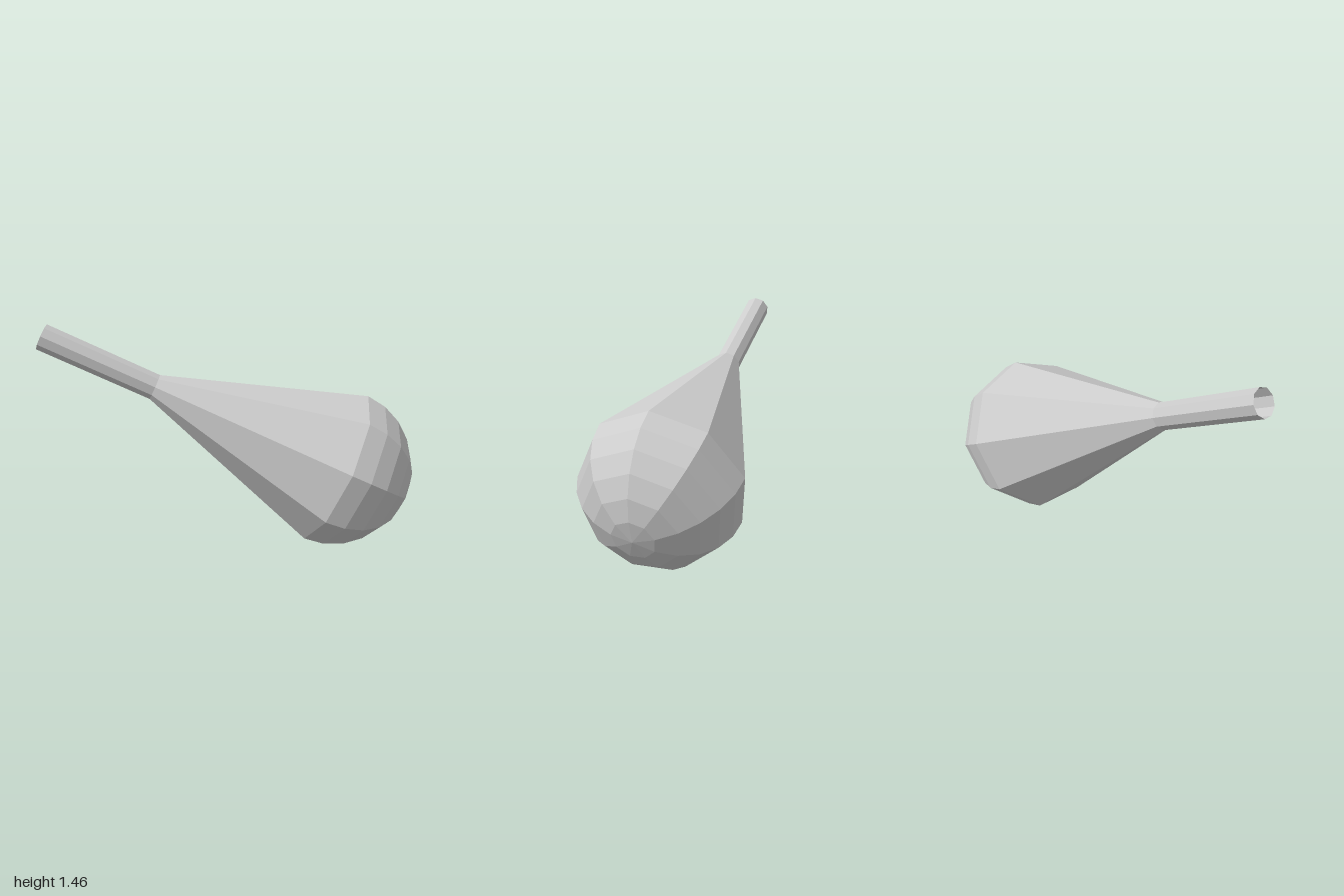
import * as THREE from 'three';

const SIDES = 9;
const BULB_R = 0.525;
const NECK_Y = 1.305, TIP_Y = 2.09; // distances from the bulb centre along the axis
const NECK_R = 0.086, TIP_R = 0.088;

export function createModel() {
  const group = new THREE.Group();
  group.name = 'squeezeBulb';
  const material = new THREE.MeshStandardMaterial({
    color: 0xcccccc, flatShading: true, side: THREE.DoubleSide,
  });

  // Turned part from [radius, height] pairs, listed bottom to top
  const turned = (name, profile) => {
    const points = profile.map(([r, y]) => new THREE.Vector2(r, y));
    const mesh = new THREE.Mesh(new THREE.LatheGeometry(points, SIDES), material);
    mesh.name = name;
    group.add(mesh);
  };

  // Rounded end: half a sphere in 15 degree steps
  const dome = [];
  for (let i = 6; i >= 0; i--) {
    const a = (i * Math.PI) / 12;
    dome.push([i === 6 ? 0 : BULB_R * Math.cos(a), -BULB_R * Math.sin(a)]);
  }
  turned('bulb', dome);

  // Straight taper to the neck, then the open tube
  turned('taper', [[BULB_R, 0], [NECK_R, NECK_Y]]);
  turned('stem', [[NECK_R, NECK_Y], [TIP_R, TIP_Y]]);

  // Lean the axis back, up and to the right, with one corner line on top
  const axis = new THREE.Vector3(-0.678, 0.423, -0.602).normalize();
  const top = new THREE.Vector3(0, 1, 0).addScaledVector(axis, -axis.y).normalize();
  const side = new THREE.Vector3().crossVectors(axis, top);
  group.quaternion.setFromRotationMatrix(new THREE.Matrix4().makeBasis(side, axis, top));
  group.position.set(0.48, 0.5, 0.4);

  const model = new THREE.Group();
  model.name = 'model';
  model.add(group);
  return model;
}
